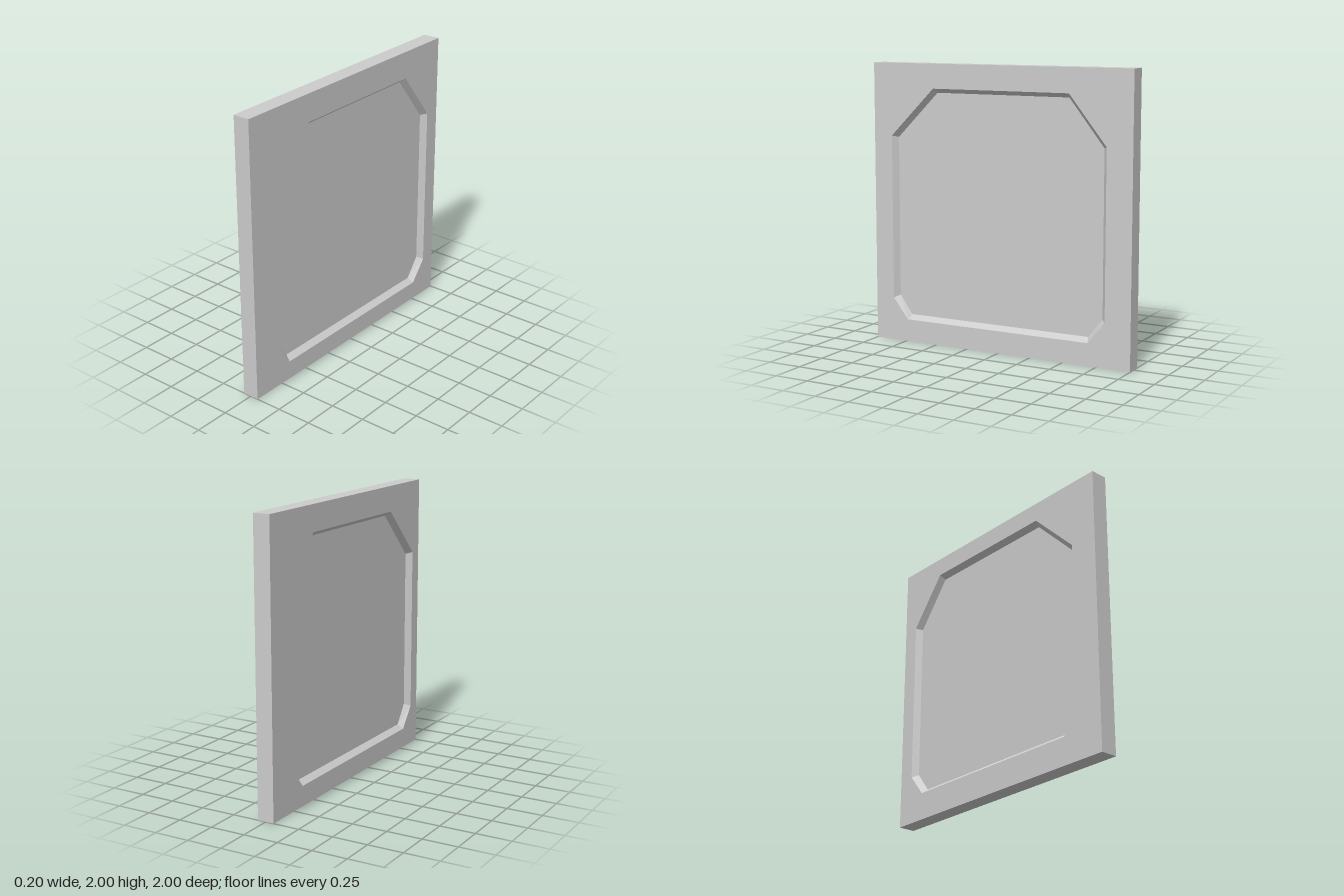
import * as THREE from 'three';

// Eight-sided outlines as [z, y], running the same way round
const RIM_OUTER = [[0.915, 1.55], [0.55, 1.915], [-0.62, 1.915], [-0.915, 1.55],
  [-0.915, 0.23], [-0.8, 0.085], [0.807, 0.085], [0.915, 0.23]];
const RIM_INNER = [[0.83, 1.49], [0.487, 1.83], [-0.556, 1.83], [-0.83, 1.49],
  [-0.83, 0.32], [-0.708, 0.171], [0.713, 0.171], [0.83, 0.32]];
const PANEL_EDGE = [[0.797, 1.478], [0.474, 1.8], [-0.54, 1.8], [-0.797, 1.478],
  [-0.797, 0.337], [-0.693, 0.203], [0.7, 0.203], [0.797, 0.337]];

const SLAB_X = 0.06; // half thickness of the slab
const RIM_X = 0.1;   // height of the raised rim face

// Band of quads joining two outlines; side is +1 or -1 along x
function band(a, ax, b, bx, side) {
  const pos = [];
  for (let i = 0; i < a.length; i++) {
    const j = (i + 1) % a.length;
    const p = [[ax, a[i]], [bx, b[i]], [bx, b[j]], [ax, a[j]]]
      .map(([x, [z, y]]) => [side * x, y, z]);
    if (side < 0) p.reverse();
    for (const k of [0, 1, 2, 0, 2, 3]) pos.push(...p[k]);
  }
  const geo = new THREE.BufferGeometry();
  geo.setAttribute('position', new THREE.Float32BufferAttribute(pos, 3));
  geo.computeVertexNormals();
  return geo;
}

export function createModel() {
  const model = new THREE.Group();
  model.name = 'framedPanel';
  const solid = new THREE.MeshStandardMaterial({ color: 0xcccccc, flatShading: true });
  const thin = new THREE.MeshStandardMaterial({
    color: 0xcccccc, flatShading: true, side: THREE.DoubleSide,
  });
  const add = (name, geometry, material) => {
    const mesh = new THREE.Mesh(geometry, material);
    mesh.name = name;
    model.add(mesh);
    return mesh;
  };

  // Square upright slab
  add('slab', new THREE.BoxGeometry(2 * SLAB_X, 2, 2), solid).position.y = 1;

  // Flat raised rim and the bevel leading down to the panel, on both faces
  for (const [label, side] of [['left', 1], ['right', -1]]) {
    add(label + 'Rim', band(RIM_OUTER, RIM_X, RIM_INNER, RIM_X, side), thin);
    add(label + 'Bevel', band(RIM_INNER, RIM_X, PANEL_EDGE, SLAB_X, side), thin);
  }
  return model;
}
